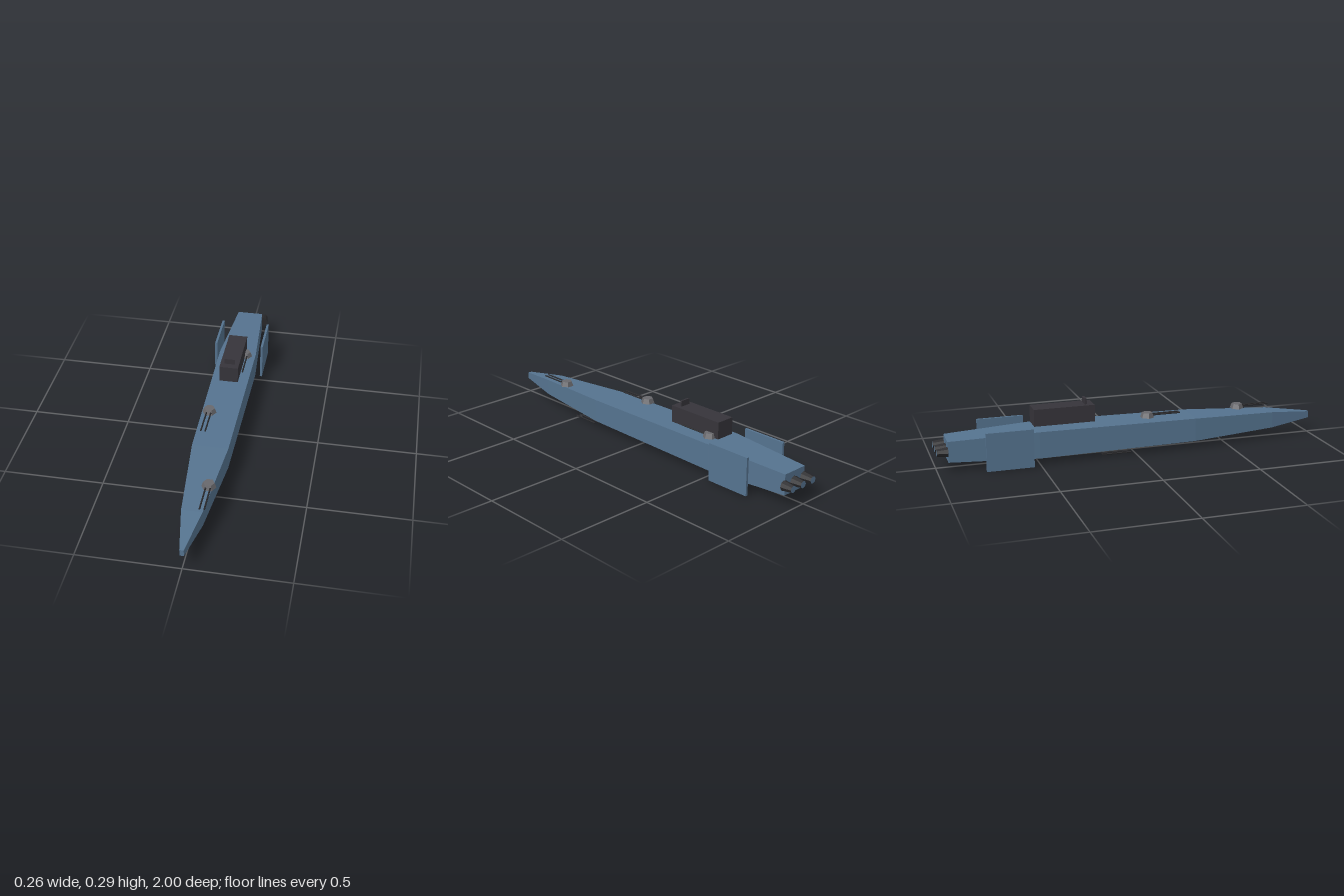
import * as THREE from 'three';

const mat = (name, color) => {
  const m = new THREE.MeshStandardMaterial({ color, flatShading: true });
  m.name = name;
  return m;
};

export function createModel() {
  const hullBlue = mat('hullBlue', 0x55738f);
  const turretGrey = mat('turretGrey', 0x68686c);
  const bridgeDark = mat('bridgeDark', 0x36343a);
  const gunmetal = mat('gunmetal', 0x28282b);

  const ship = new THREE.Group();
  ship.name = 'ship';

  const add = (name, geometry, material, x, y, z, parent = ship) => {
    const mesh = new THREE.Mesh(geometry, material);
    mesh.name = name;
    mesh.position.set(x, y, z);
    parent.add(mesh);
    return mesh;
  };
  const box = (name, w, h, d, material, x, y, z) =>
    add(name, new THREE.BoxGeometry(w, h, d), material, x, y, z);

  // Hull: rectangular sections [z, half width, bottom, top], bow to stern
  const sections = [
    [1.0, 0.01, 0.08, 0.114],
    [0.77, 0.05, 0.056, 0.14],
    [0.32, 0.09, 0.037, 0.157],
    [-0.5, 0.099, 0.03, 0.165],
    [-0.945, 0.069, 0.045, 0.15],
  ];
  const positions = [];
  const index = [];
  for (const [z, w, lo, hi] of sections) {
    positions.push(w, lo, z, w, hi, z, -w, hi, z, -w, lo, z);
  }
  for (let s = 0; s < sections.length - 1; s++) {
    for (let k = 0; k < 4; k++) {
      const a = s * 4 + k, b = s * 4 + (k + 1) % 4;
      index.push(a, a + 4, b, b, a + 4, b + 4);
    }
  }
  const e = (sections.length - 1) * 4;
  index.push(0, 1, 2, 0, 2, 3, e, e + 2, e + 1, e, e + 3, e + 2);
  let hull = new THREE.BufferGeometry();
  hull.setAttribute('position', new THREE.Float32BufferAttribute(positions, 3));
  hull.setIndex(index);
  hull = hull.toNonIndexed();
  hull.computeVertexNormals();
  add('hull', hull, hullBlue, 0, 0, 0);

  // Side fins, standing clear of the hull
  box('leftFin', 0.012, 0.193, 0.235, hullBlue, 0.125, 0.0965, -0.653);
  box('rightFin', 0.012, 0.193, 0.235, hullBlue, -0.127, 0.0965, -0.653);

  // Bridge block with a small mast plate
  box('bridge', 0.098, 0.086, 0.31, bridgeDark, -0.001, 0.223, -0.36);
  box('bridgeMast', 0.054, 0.029, 0.01, bridgeDark, -0.001, 0.2805, -0.245);

  // Twin gun barrels pointing forward
  const barrelGeo = new THREE.CylinderGeometry(0.004, 0.004, 0.151, 8).rotateX(Math.PI / 2);
  const barrels = (x, y, z, parent) => {
    for (const dx of [-0.011, 0.011]) {
      add('gunBarrel', barrelGeo, gunmetal, x + dx, y, z + 0.0975, parent);
    }
  };

  // Deck turrets: six-sided drums with barrels
  const drumGeo = new THREE.CylinderGeometry(0.027, 0.036, 0.025, 6).rotateY(Math.PI / 6);
  for (const [x, y, z] of [[0.048, 0.165, 0.605], [-0.05, 0.19, 0.07], [0.048, 0.19, -0.463]]) {
    const turret = new THREE.Group();
    turret.name = 'turret';
    turret.position.set(x, y, z);
    add('turretDrum', drumGeo, turretGrey, 0, 0, 0, turret);
    barrels(0, 0, 0, turret);
    ship.add(turret);
  }

  // Guns slung beneath the keel
  barrels(0.049, 0.005, 0.342, ship);
  barrels(-0.05, 0.005, -0.193, ship);

  // Engine nozzles with blue end faces
  const nozzleGeo = new THREE.CylinderGeometry(0.026, 0.018, 0.055, 8).rotateX(Math.PI / 2);
  for (const x of [-0.064, 0.006, 0.076]) {
    add('engineNozzle', nozzleGeo, [gunmetal, gunmetal, hullBlue], x, 0.098, -0.9725);
  }
  return ship;
}
